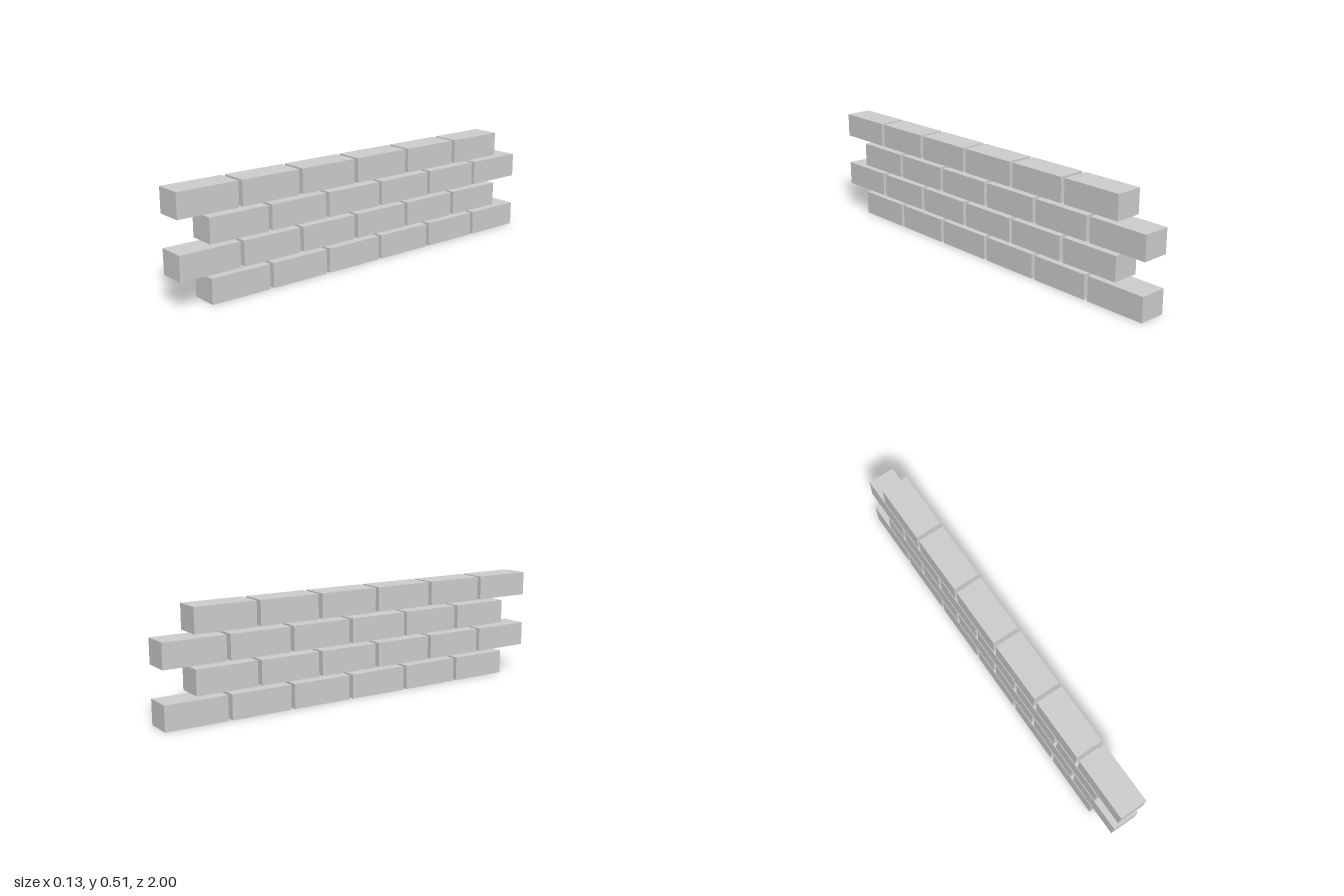
import * as THREE from 'three';

const ROWS = 4, BRICKS = 6;
const WIDTH = 0.131, HEIGHT = 0.115, LENGTH = 0.293;
const ROW_PITCH = 0.1315, BRICK_PITCH = 0.312;

export function createModel() {
  const wall = new THREE.Group();
  wall.name = 'brickWall';
  const material = new THREE.MeshStandardMaterial({ color: 0xcccccc, flatShading: true });
  const brickGeometry = new THREE.BoxGeometry(WIDTH, HEIGHT, LENGTH);

  for (let r = 0; r < ROWS; r++) {
    const row = new THREE.Group();
    row.name = `brickRow${r + 1}`;
    row.position.y = HEIGHT / 2 + r * ROW_PITCH;

    // Running bond: even rows are flush with the back end, odd rows with the front end
    const side = r % 2 === 0 ? -1 : 1;
    for (let i = 0; i < BRICKS; i++) {
      const brick = new THREE.Mesh(brickGeometry, material);
      brick.name = `brick${i + 1}`;
      brick.position.z = side * (1 - LENGTH / 2 - i * BRICK_PITCH);
      row.add(brick);
    }
    wall.add(row);
  }
  return wall;
}
